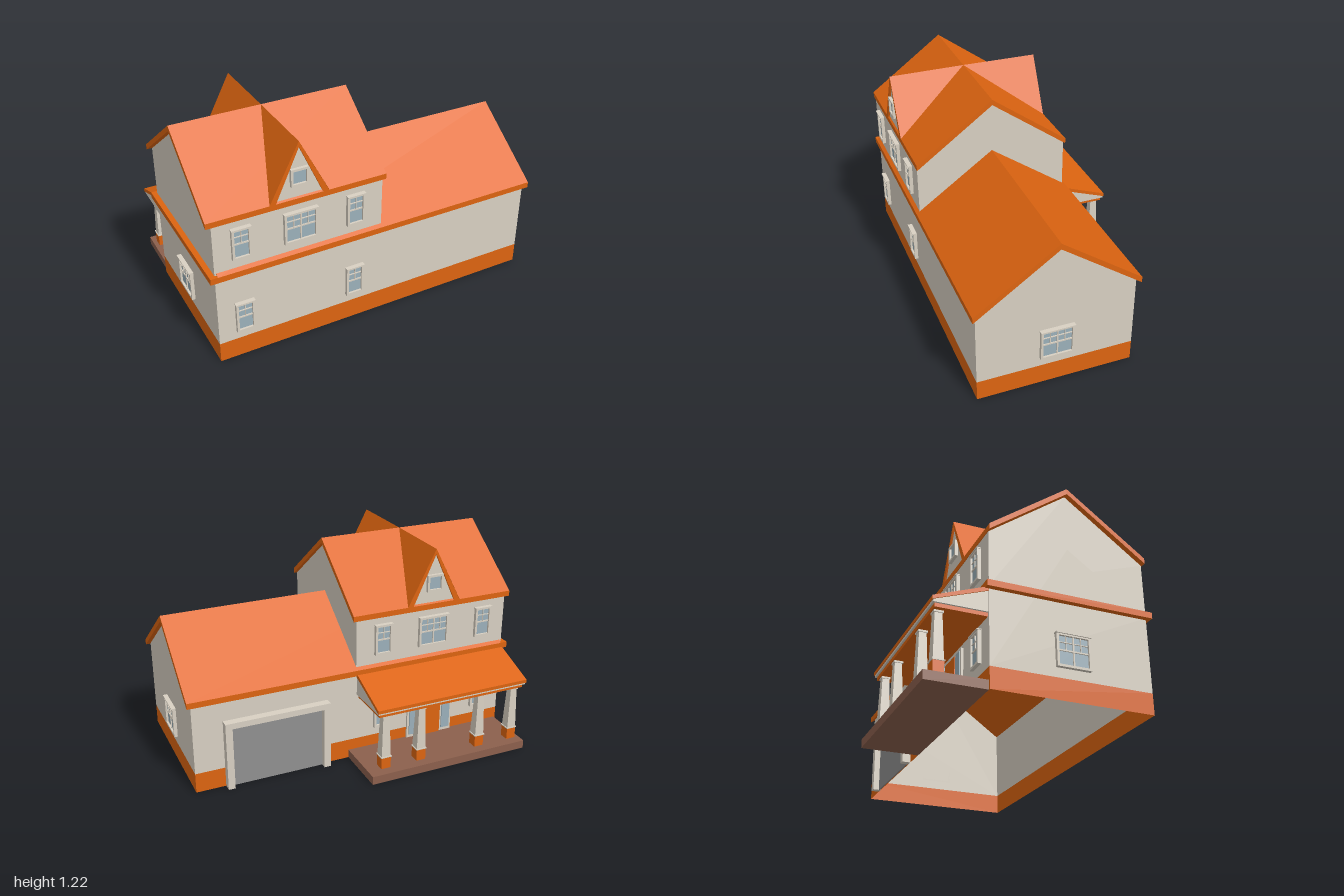
import * as THREE from 'three';

const mat = (name, color) => {
  const m = new THREE.MeshStandardMaterial({ color, side: THREE.DoubleSide });
  m.name = name;
  return m;
};

export function createModel() {
  const orange = mat('orange', 0xdd6410);
  const beige = mat('beige', 0xd8d0c2);
  const glass = mat('glass', 0x9bb0ba);
  const brown = mat('porchBrown', 0x8c604d);
  const grey = mat('garageGrey', 0x909090);

  const house = new THREE.Group();
  house.name = 'house';
  const MID = 0.15, WING = -0.485;   // ridge line z, centre x of the two-storey wing

  const add = (parent, name, geometry, material) => {
    const m = new THREE.Mesh(geometry, material);
    m.name = name;
    parent.add(m);
    return m;
  };
  const group = (parent, name, x, y, z, turn = 0) => {
    const g = new THREE.Group();
    g.name = name;
    g.position.set(x, y, z);
    g.rotation.y = turn;
    parent.add(g);
    return g;
  };
  // box given by its limits
  const box = (parent, name, material, x0, x1, y0, y1, z0, z1) => {
    const g = new THREE.BoxGeometry(x1 - x0, y1 - y0, z1 - z0);
    g.translate((x0 + x1) / 2, (y0 + y1) / 2, (z0 + z1) / 2);
    return add(parent, name, g, material);
  };
  // flat convex face
  const face = (parent, name, material, ...pts) => {
    const v = [];
    for (let i = 1; i < pts.length - 1; i++) v.push(...pts[0], ...pts[i], ...pts[i + 1]);
    const g = new THREE.BufferGeometry();
    g.setAttribute('position', new THREE.Float32BufferAttribute(v, 3));
    g.computeVertexNormals();
    return add(parent, name, g, material);
  };
  const shapeOf = pts => new THREE.Shape(pts.map(p => new THREE.Vector2(...p)));
  // (z, y) profile swept along x
  const sweepX = (parent, name, material, pts, x0, x1) => {
    const g = new THREE.ExtrudeGeometry(shapeOf(pts), { depth: x1 - x0, bevelEnabled: false });
    g.rotateY(-Math.PI / 2).translate(x1, 0, 0);
    return add(parent, name, g, material);
  };

  // open shell of four walls, with gables when a ridge is given
  const walls = (name, material, x0, x1, y0, y1, ridge) => {
    const z0 = -0.295, z1 = 0.595;
    const g = group(house, name, 0, 0, 0);
    face(g, 'frontWall', material, [x0, y0, z1], [x1, y0, z1], [x1, y1, z1], [x0, y1, z1]);
    face(g, 'backWall', material, [x1, y0, z0], [x0, y0, z0], [x0, y1, z0], [x1, y1, z0]);
    const top = x => (ridge ? [[x, ridge, MID]] : []);
    face(g, 'leftWall', material, [x1, y0, z1], [x1, y0, z0], [x1, y1, z0], ...top(x1), [x1, y1, z1]);
    face(g, 'rightWall', material, [x0, y0, z0], [x0, y0, z1], [x0, y1, z1], ...top(x0), [x0, y1, z0]);
  };
  walls('baseBand', orange, -0.97, 0.97, 0, 0.118);
  walls('groundFloor', beige, -0.97, 0.97, 0.118, 0.544, 0.859);
  walls('upperFloor', beige, -0.97, 0, 0.55, 0.862, 1.187);

  // chevron roofs
  const roof = (name, x0, x1, half, eave, ridge, t) => sweepX(house, name, orange, [
    [MID - half, eave], [MID, ridge], [MID + half, eave],
    [MID + half, eave + t], [MID, ridge + t], [MID - half, eave + t]], x0, x1);
  roof('lowerRoof', -0.96, 0.995, 0.465, 0.532, 0.86, 0.034);
  roof('upperRoof', -1, 0.02, 0.45, 0.86, 1.188, 0.032);
  box(house, 'sideSkirt', orange, -1, -0.955, 0.532, 0.567, MID - 0.465, MID + 0.465);

  // window facing +z: frame, glass, small panes above, large panes below
  const windowUnit = (parent, x, y, z, turn, w, h, cols) => {
    const g = group(parent, 'window', x, y, z, turn);
    const f = 0.013, a = w / 2, b = h / 2;
    const rect = (p, q) => [[-p, -q], [p, -q], [p, q], [-p, q]];
    const s = shapeOf(rect(a, b));
    s.holes.push(shapeOf(rect(a - f, b - f)));
    add(g, 'windowFrame', new THREE.ExtrudeGeometry(s, { depth: 0.02, bevelEnabled: false }), beige);
    box(g, 'windowGlass', glass, -a + f, a - f, -b + f, b - f, 0.003, 0.008);
    if (!cols) return;
    box(g, 'windowHead', beige, -a - 0.003, a + 0.003, b - 0.004, b + 0.002, 0, 0.026);
    const bar = (x0, x1, y0, y1) => box(g, 'glazingBar', beige, x0, x1, y0, y1, 0.008, 0.014);
    const t = 0.004, n = a - f;
    bar(-n, n, -t, t);
    bar(-n, n, b / 2 - 0.003 - t / 2, b / 2 - 0.003 + t / 2);
    for (let i = 1; i < cols; i++) {
      const p = -n + 2 * n * i / cols, r = i * 2 === cols && cols > 2 ? t : t / 2;
      bar(p - r, p + r, cols > 2 && i * 2 === cols ? -b + f : 0, b - f);
    }
  };
  const FRONT = 0.595, BACK = -0.295, H = 0.183;
  for (const [z, turn] of [[FRONT, 0], [BACK, Math.PI]]) {
    for (const x of [-0.82, -0.165]) {
      windowUnit(house, x, 0.728, z, turn, 0.105, H, 2);
      windowUnit(house, x, 0.263, z, turn, 0.105, H, 2);
    }
    windowUnit(house, WING - 0.003, 0.728, z, turn, 0.19, H, 4);
  }
  for (const s of [-1, 1]) windowUnit(house, s * 0.97, 0.263, MID, s * Math.PI / 2, 0.19, H, 4);

  // steep dormers on both slopes, running into the main ridge
  for (const turn of [0, Math.PI]) {
    const g = group(house, 'dormer', WING - 0.003, 0, MID, turn);
    const a = 0.17, z = 0.45, tip = 1.218;
    for (const s of [-1, 1])
      face(g, 'dormerRoof', orange, ...(s > 0
        ? [[a, 0.89, z], [0, 1.22, 0], [0, tip, z]]
        : [[-a, 0.89, z], [0, tip, z], [0, 1.22, 0]]));
    const trim = shapeOf([[-a, 0.888], [-0.135, 0.888], [0, 1.187], [0.135, 0.888], [a, 0.888], [0, tip]]);
    const trimGeo = new THREE.ExtrudeGeometry(trim, { depth: 0.012, bevelEnabled: false });
    add(g, 'dormerTrim', trimGeo.translate(0, 0, z - 0.012), orange);
    face(g, 'dormerWall', beige, [-0.15, 0.87, z - 0.01], [0.15, 0.87, z - 0.01], [0, 1.2, z - 0.01]);
    windowUnit(g, 0, 1.018, z - 0.012, 0, 0.1, 0.1, 0);
  }

  // garage door and its surround
  const garage = group(house, 'garage', 0.488, 0, BACK);
  for (const s of [-1, 1])
    box(garage, 'garagePost', beige, s * 0.29 - 0.02, s * 0.29 + 0.02, 0, 0.41, -0.047, 0);
  box(garage, 'garageLintel', beige, -0.27, 0.27, 0.375, 0.41, -0.047, 0);
  box(garage, 'garageDoor', grey, -0.27, 0.27, 0, 0.375, -0.012, -0.004);

  // porch: deck, posts, ceiling, lean-to roof
  const porch = group(house, 'porch', 0, 0, 0);
  box(porch, 'porchDeck', brown, -0.96, 0.045, 0, 0.05, -0.622, BACK);
  for (const dx of [-0.42, -0.195, 0.195, 0.42]) {
    const p = group(porch, 'porchPost', WING + dx, 0, -0.537);
    box(p, 'postBase', orange, -0.029, 0.029, 0.05, 0.123, -0.029, 0.029);
    box(p, 'postCollar', beige, -0.033, 0.033, 0.12, 0.126, -0.033, 0.033);
    const shaft = new THREE.CylinderGeometry(0.02 * Math.SQRT2, 0.028 * Math.SQRT2, 0.25, 4).toNonIndexed();
    shaft.computeVertexNormals();
    add(p, 'postShaft', shaft.rotateY(Math.PI / 4).translate(0, 0.25, 0), beige);
    box(p, 'postCap', beige, -0.025, 0.025, 0.374, 0.386, -0.025, 0.025);
  }
  box(porch, 'porchCeiling', orange, -0.955, -0.015, 0.385, 0.406, -0.568, BACK);
  sweepX(porch, 'porchGable', beige,
    [[BACK, 0.406], [BACK, 0.525], [-0.579, 0.42], [-0.579, 0.406]], -0.965, -0.005);
  sweepX(porch, 'porchRoof', orange,
    [[BACK, 0.522], [BACK, 0.545], [-0.584, 0.437], [-0.584, 0.417]], -0.97, 0);

  // entrance with side lights
  const entry = group(house, 'entrance', WING, 0, BACK);
  box(entry, 'entranceFrame', beige, -0.15, 0.15, 0.05, 0.36, -0.012, 0);
  box(entry, 'door', orange, -0.07, 0.07, 0.05, 0.345, -0.018, -0.01);
  for (const s of [-1, 1])
    box(entry, 'sideLight', glass, s * 0.11 - 0.027, s * 0.11 + 0.027, 0.07, 0.345, -0.018, -0.01);

  return house;
}
